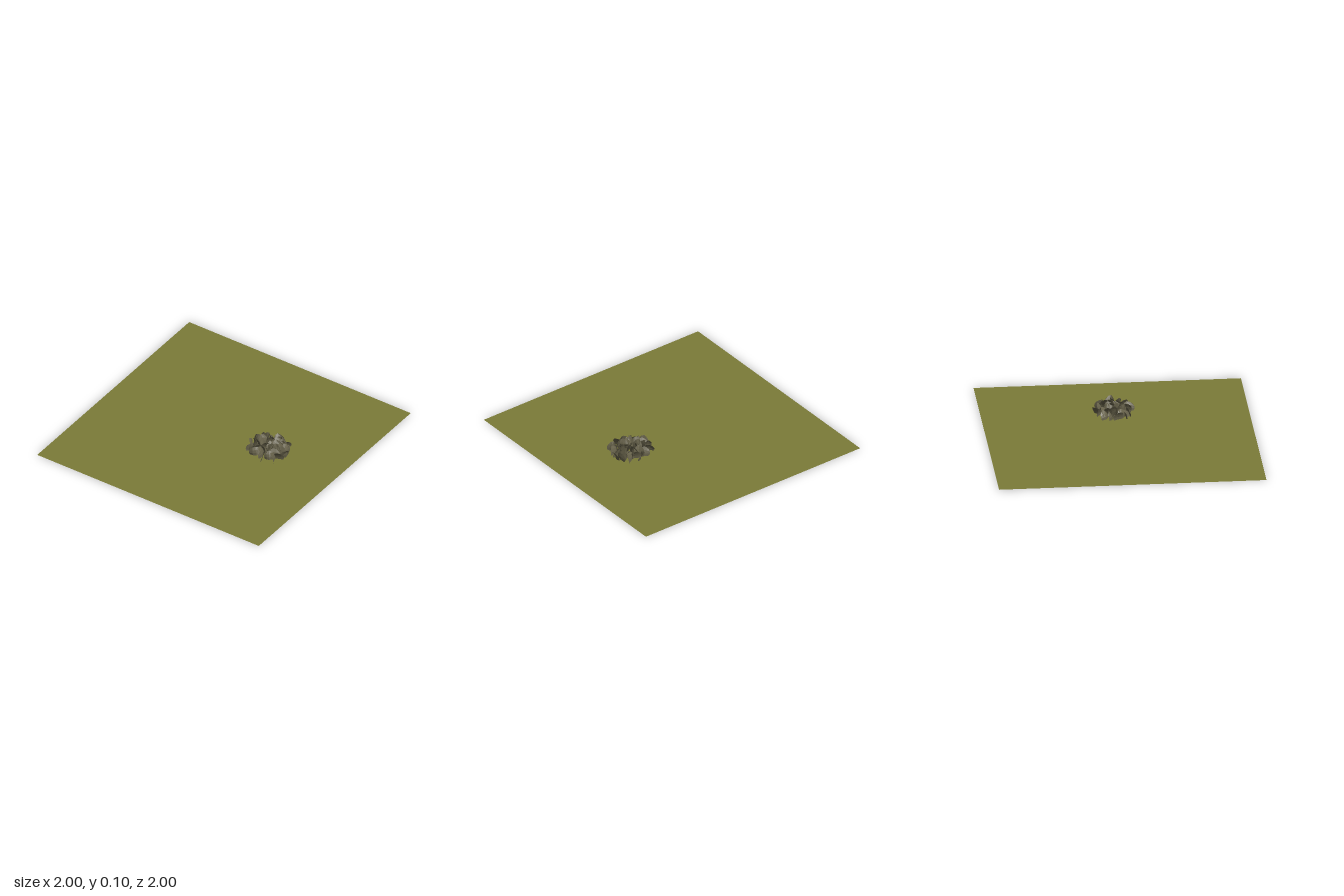
import * as THREE from 'three';

const ground = new THREE.MeshStandardMaterial({ color: 0x7b7b38, side: THREE.DoubleSide });
ground.name = 'olive ground';
const foliage = new THREE.MeshStandardMaterial({ color: 0x656049, side: THREE.DoubleSide });
foliage.name = 'grey brown foliage';

// small seeded generator
function seeded(seed) {
  return () => {
    seed = (seed * 16807) % 2147483647;
    return seed / 2147483647;
  };
}

// Upright sheet with a rounded top, bent across its width and leaning forward
function leafGeometry(width, height, bend, lean) {
  const geo = new THREE.PlaneGeometry(2, 1, 4, 3);
  const p = geo.attributes.position;
  for (let i = 0; i < p.count; i++) {
    const u = p.getX(i), v = p.getY(i) + 0.5;
    const side = 0.82 + 0.18 * Math.sin(v * Math.PI);
    const top = 1 - 0.32 * u * u;
    const z = bend * (u * u - 0.4) + lean * (v * v - 0.3) * (1 - 0.6 * Math.abs(u));
    p.setXYZ(i, u * width * side / 2, v * height * top, z);
  }
  const flat = geo.toNonIndexed();
  flat.computeVertexNormals();
  return flat;
}

export function createModel() {
  const model = new THREE.Group();
  model.name = 'shrubOnGround';

  // flat ground sheet
  const plane = new THREE.Mesh(new THREE.PlaneGeometry(2, 2), ground);
  plane.name = 'ground';
  plane.rotation.x = -Math.PI / 2;
  model.add(plane);

  // low round clump of crossing leaves
  const shrub = new THREE.Group();
  shrub.name = 'shrub';
  shrub.position.set(0.395, 0.008, -0.015);
  const rand = seeded(4127);
  const count = 38;
  for (let i = 0; i < count; i++) {
    const r = Math.sqrt((i + 0.5) / count);
    const a = i * 2.39996;
    const width = 0.075 + 0.035 * rand();
    const height = 0.095 - 0.025 * r * r - 0.015 * rand();
    const bend = (rand() - 0.5) * 0.05;
    const lean = (rand() < 0.5 ? -1 : 1) * (0.022 + 0.016 * rand());
    const leaf = new THREE.Mesh(leafGeometry(width, height, bend, lean), foliage);
    leaf.name = 'leaf' + (i + 1);
    leaf.position.set(Math.cos(a) * r * 0.157, 0, Math.sin(a) * r * 0.127);
    leaf.rotation.y = rand() * Math.PI * 2;
    shrub.add(leaf);
  }
  model.add(shrub);
  return model;
}
